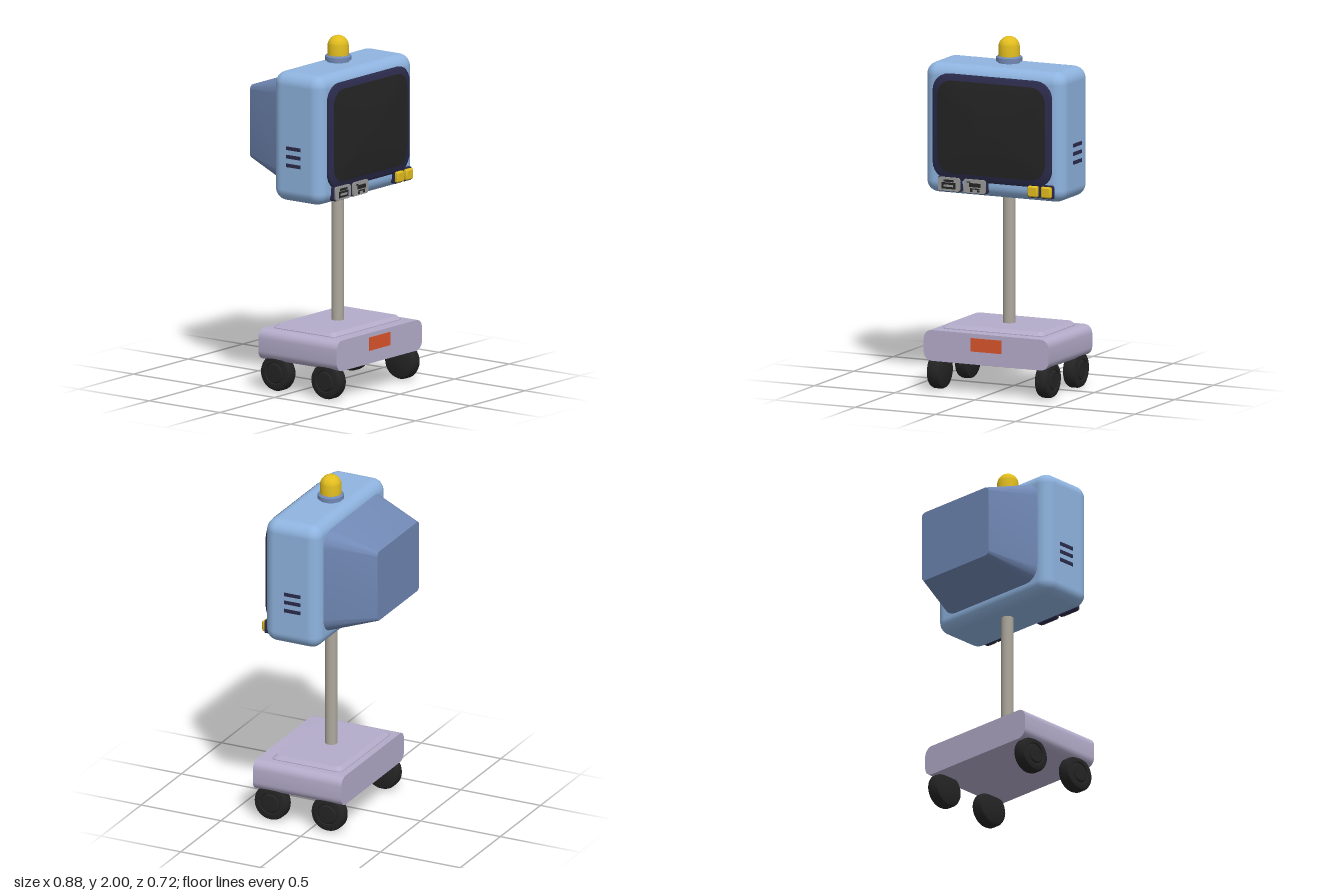
import * as THREE from 'three';
import { toCreasedNormals } from 'three/addons/utils/BufferGeometryUtils.js';
import { RoundedBoxGeometry } from 'three/addons/geometries/RoundedBoxGeometry.js';

const material = (name, color) => {
  const m = new THREE.MeshStandardMaterial({ color });
  m.name = name;
  return m;
};

// Rounded rectangle outline, counter-clockwise
function outline(hw, hh, r, steps = 6) {
  const pts = [];
  [[1, 1], [-1, 1], [-1, -1], [1, -1]].forEach(([sx, sy], k) => {
    for (let i = 0; i <= steps; i++) {
      const a = (k + i / steps) * Math.PI / 2;
      pts.push([sx * (hw - r) + r * Math.cos(a), sy * (hh - r) + r * Math.sin(a)]);
    }
  });
  return pts;
}

// Closed loft through rounded rectangles [halfWidth, halfHeight, radius, z], z rising
function loft(sections, crease = 0.6) {
  const pos = [], idx = [];
  const n = outline(1, 1, 0.1).length;
  for (const [hw, hh, r, z] of sections)
    for (const [x, y] of outline(hw, hh, r)) pos.push(x, y, z);
  const last = sections.length - 1;
  for (let i = 0; i < last; i++)
    for (let j = 0; j < n; j++) {
      const k = (j + 1) % n, a = i * n, b = a + n;
      idx.push(a + j, a + k, b + k, a + j, b + k, b + j);
    }
  const c = pos.length / 3;
  pos.push(0, 0, sections[0][3], 0, 0, sections[last][3]);
  for (let j = 0; j < n; j++) {
    const k = (j + 1) % n;
    idx.push(c, k, j, c + 1, last * n + j, last * n + k);
  }
  const g = new THREE.BufferGeometry();
  g.setAttribute('position', new THREE.Float32BufferAttribute(pos, 3));
  g.setIndex(idx);
  return toCreasedNormals(g, crease);
}

const lathe = (pts, seg = 32) => toCreasedNormals(
  new THREE.LatheGeometry(pts.map(([x, y]) => new THREE.Vector2(x, y)), seg), 0.6);

export function createModel() {
  const model = new THREE.Group();
  const blue = material('light blue', 0x8fb4e0);
  const slate = material('slate blue', 0x7189b6);
  const navy = material('dark navy', 0x2b2b4c);
  const black = material('black', 0x242424);
  const yellow = material('yellow', 0xe2bd1f);
  const lilac = material('lilac', 0xb4acca);
  const metal = material('warm grey', 0xaea89d);
  const orange = material('orange', 0xd9542b);
  const grey = material('grey', 0x999999);

  const add = (name, geo, mat, x = 0, y = 0, z = 0, parent = model) => {
    const m = new THREE.Mesh(geo, mat);
    m.name = name;
    m.position.set(x, y, z);
    parent.add(m);
    return m;
  };
  const box = (name, w, h, d, mat, x, y, z, parent) =>
    add(name, new THREE.BoxGeometry(w, h, d), mat, x, y, z, parent);

  // Monitor casing and tapered back
  add('casing', new RoundedBoxGeometry(0.87, 0.74, 0.345, 5, 0.07), blue, 0, 1.48, 0.0975);
  add('tubeHousing', loft([[0.26, 0.21, 0.025, -0.36], [0.37, 0.308, 0.09, -0.06]]), slate, 0, 1.492, 0);

  // Screen surround and bulging glass
  add('screenFrame', loft([
    [0.36, 0.29, 0.09, 0.26], [0.37, 0.302, 0.1, 0.27], [0.37, 0.302, 0.1, 0.283], [0.355, 0.287, 0.09, 0.293],
  ]), navy, 0, 1.498, 0);
  add('screen', loft([1, 0.85, 0.7, 0.5, 0.3, 0.1].map(
    t => [0.345 * t, 0.272 * t, 0.09 * t, 0.292 + 0.02 * (1 - t * t)])), black, 0, 1.5, 0);

  // Side vents
  for (const s of [-1, 1])
    for (const y of [1.325, 1.375, 1.423])
      box('vent', 0.012, 0.02, 0.1, navy, s * 0.434, y, 0.085);

  // Yellow push buttons
  for (const x of [0.263, 0.345]) {
    add('buttonBase', loft([[0.037, 0.038, 0.01, 0.262], [0.037, 0.038, 0.01, 0.287]]), navy, x, 1.174, 0);
    add('button', loft([[0.031, 0.031, 0.008, 0.28], [0.031, 0.031, 0.008, 0.3],
      [0.024, 0.024, 0.006, 0.308]]), yellow, x, 1.174, 0);
  }

  // Small grey panels with pictograms
  const panels = [-0.26, -0.1].map(x => {
    const g = new THREE.Group();
    g.name = 'iconPanel';
    g.position.set(x, 1.174, 0);
    model.add(g);
    add('panelRim', loft([[0.072, 0.043, 0.016, 0.262], [0.072, 0.043, 0.016, 0.292]]), navy, 0, 0, 0, g);
    add('panelPlate', loft([[0.068, 0.039, 0.014, 0.285], [0.068, 0.039, 0.014, 0.302]]), grey, 0, 0, 0, g);
    return g;
  });
  const icon = (g, w, h, x, y, mat = black, z = 0.303) => box('icon', w, h, 0.006, mat, x, y, z, g);
  // Monitor pictogram
  icon(panels[0], 0.084, 0.036, 0, -0.008);
  icon(panels[0], 0.06, 0.012, 0, -0.008, grey, 0.305);
  icon(panels[0], 0.06, 0.012, 0, 0.02);
  // Cart pictogram
  icon(panels[1], 0.07, 0.022, 0.005, 0.007);
  icon(panels[1], 0.022, 0.006, -0.036, 0.023);
  icon(panels[1], 0.056, 0.006, 0.004, -0.014);
  for (const x of [-0.018, 0.026]) icon(panels[1], 0.013, 0.012, x, -0.025);

  // Beacon on top
  add('beaconCollar', lathe([[0, 0], [0.062, 0], [0.062, 0.016], [0.074, 0.018], [0.074, 0.04], [0.066, 0.047], [0, 0.047]]),
    slate, 0, 1.842, 0.063);
  const dome = [[0.06, 1.87]];
  for (let i = 0; i <= 10; i++) {
    const a = i / 10 * Math.PI / 2;
    dome.push([0.06 * Math.cos(a), 1.94 + 0.06 * Math.sin(a)]);
  }
  add('beaconLamp', lathe(dome), yellow, 0, 0, 0.063);

  // Pole
  add('pole', new THREE.CylinderGeometry(0.035, 0.035, 0.78, 24), metal, 0, 0.74, 0.06);

  // Trolley base with raised deck and front plate
  add('base', loft([[0.39, 0.0875, 0.05, -0.2], [0.39, 0.0875, 0.05, 0.355]]), lilac, 0, 0.2585, 0);
  const deck = loft([[0.315, 0.22, 0.03, 0.33], [0.315, 0.22, 0.03, 0.35], [0.295, 0.2, 0.025, 0.37]], 0.4);
  add('deck', deck.rotateX(-Math.PI / 2), lilac, 0, 0, 0.06);
  box('frontPlate', 0.19, 0.076, 0.008, orange, 0, 0.283, 0.355);

  // Wheels, profile runs along the axle
  const tyre = lathe([[0, -0.042], [0.08, -0.042], [0.096, -0.034], [0.103, -0.02], [0.103, 0.02],
    [0.096, 0.034], [0.08, 0.04], [0.062, 0.04], [0.058, 0.034], [0.05, 0.041], [0, 0.043]]);
  for (const s of [-1, 1])
    for (const z of [0.257, -0.1])
      add('wheel', tyre, black, s * 0.337, 0.103, z).rotation.z = -s * Math.PI / 2;

  return model;
}
